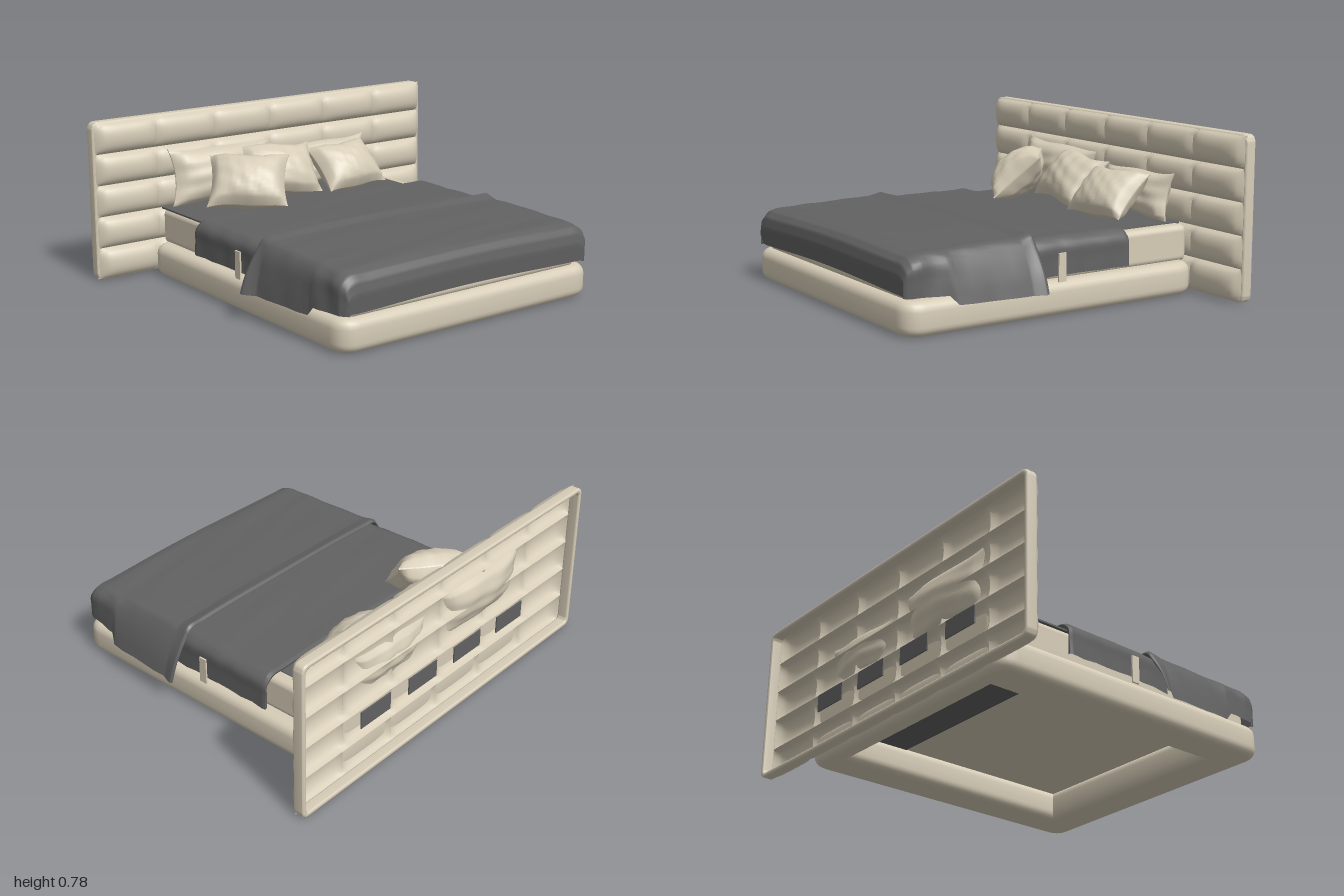
import * as THREE from 'three';
import { RoundedBoxGeometry } from 'three/addons/geometries/RoundedBoxGeometry.js';
import { toCreasedNormals } from 'three/addons/utils/BufferGeometryUtils.js';

const cream = new THREE.MeshStandardMaterial({ color: 0xd6ccb7, side: THREE.DoubleSide });
cream.name = 'cream fabric';
const grey = new THREE.MeshStandardMaterial({ color: 0x626262, side: THREE.DoubleSide });
grey.name = 'grey bedding';

function add(parent, name, geometry, material, x = 0, y = 0, z = 0) {
  const mesh = new THREE.Mesh(geometry, material);
  mesh.name = name;
  mesh.position.set(x, y, z);
  parent.add(mesh);
  return mesh;
}

const plate = (w, h, d) => new THREE.BoxGeometry(w, h, d);

// Rounded rectangle outline, centred on (0, cy)
function roundRect(path, w, h, r, cy = 0) {
  const x = w / 2, top = cy + h / 2, low = cy - h / 2;
  path.moveTo(-x + r, low);
  path.lineTo(x - r, low);
  path.quadraticCurveTo(x, low, x, low + r);
  path.lineTo(x, top - r);
  path.quadraticCurveTo(x, top, x - r, top);
  path.lineTo(-x + r, top);
  path.quadraticCurveTo(-x, top, -x, top - r);
  path.lineTo(-x, low + r);
  path.quadraticCurveTo(-x, low, -x + r, low);
  return path;
}

// Rectangular ring with bevelled edges, centred in depth
function ring(w, h, holeW, holeH, holeY, depth, bevel, r, holeR) {
  const shape = roundRect(new THREE.Shape(), w - 2 * bevel, h - 2 * bevel, r);
  shape.holes.push(roundRect(new THREE.Path(), holeW + 2 * bevel, holeH + 2 * bevel, holeR, holeY));
  const geo = new THREE.ExtrudeGeometry(shape, {
    depth: depth - 2 * bevel, bevelThickness: bevel, bevelSize: bevel, bevelSegments: 5, curveSegments: 6,
  });
  geo.translate(0, 0, bevel - depth / 2);
  return toCreasedNormals(geo, 0.7);
}

// One padded headboard row: bulging cells with sharp seams, closed at both ends
function paddedRow(w, h, bulge, cells) {
  const geo = new THREE.PlaneGeometry(w, h, cells * 14, 14);
  const p = geo.attributes.position;
  for (let i = 0; i < p.count; i++) {
    const x = p.getX(i) / (w / 2), b = Math.abs(p.getY(i) / (h / 2));
    const cell = (x + 1) / 2 * cells;
    const a = 2 * Math.abs(cell - Math.floor(cell) - 0.5);
    const across = (0.58 + 0.42 * Math.sqrt(1 - Math.min(1, a) ** 4)) * Math.sqrt(Math.max(0, 1 - x ** 30));
    p.setZ(i, bulge * across * Math.sqrt(Math.max(0, 1 - b ** 2.2)));
  }
  return toCreasedNormals(geo, 0.9);
}

// Soft pillow with pulled-out corners and a few creases
function pillowGeometry(w, h, t, seed) {
  const geo = new THREE.BoxGeometry(2, 2, 2, 18, 18, 1);
  const p = geo.attributes.position;
  for (let i = 0; i < p.count; i++) {
    const u = p.getX(i), v = p.getY(i), side = Math.sign(p.getZ(i));
    const puff = Math.pow(Math.max(0, (1 - u * u) * (1 - v * v)), 0.45);
    const crease = 0.006 * Math.sin(5 * u - 4 * v + seed) * Math.sin(7 * v + 3 * u * seed) * Math.sqrt(puff);
    p.setXYZ(i,
      u * w / 2 * (1 - 0.1 * (1 - v * v)),
      v * h / 2 * (1 - 0.1 * (1 - u * u)) + 0.006 * Math.sin(4 * u + seed),
      side * (0.003 + t / 2 * puff) + crease);
  }
  geo.computeVertexNormals();
  return geo;
}

// Cloth over the mattress; each row is [z, top, hem, half width, flare at -x, flare at +x]
function blanketGeometry(rows, crown) {
  const cols = 48, steps = 5, pos = [], index = [];
  const total = (rows.length - 1) * steps;
  for (let j = 0; j <= total; j++) {
    const k = Math.min(Math.floor(j / steps), rows.length - 2), f = j / steps - k;
    const [z, top, hem, w, flareL, flareR] = rows[k].map((a, n) => a + (rows[k + 1][n] - a) * f);
    const h = top - hem;
    const half = (s, flare) => [
      [w + flare, hem], [w + flare * 0.6, hem + 0.4 * h], [w, top - 0.22 * h],
      [w - 0.04, top - 0.01 * h], [w - 0.12, top + crown * 0.2], [0.3, top + crown * 0.8],
    ].map(([x, y]) => new THREE.Vector3(s * x, y, z));
    const section = new THREE.CatmullRomCurve3([
      ...half(-1, flareL), new THREE.Vector3(0, top + crown, z), ...half(1, flareR).reverse(),
    ]);
    for (let i = 0; i <= cols; i++) {
      const q = section.getPoint(i / cols);
      const fold = 0.003 * Math.sin(26 * z + 3 * q.x) * Math.sin(4 * q.x + 9 * z);
      const onSide = Math.abs(q.x) > w - 0.02;
      const ripple = onSide ? Math.sign(q.x) * 0.004 * Math.sin(38 * z + 12 * q.y) : 0;
      pos.push(q.x + ripple, q.y + (onSide ? 0 : fold), q.z);
      if (i < cols && j < total) {
        const a = j * (cols + 1) + i, b = a + cols + 1;
        index.push(a, b, a + 1, b, b + 1, a + 1);
      }
    }
  }
  const geo = new THREE.BufferGeometry();
  geo.setAttribute('position', new THREE.Float32BufferAttribute(pos, 3));
  geo.setIndex(index);
  geo.computeVertexNormals();
  return geo;
}

export function createModel() {
  const model = new THREE.Group();
  model.name = 'upholstered bed';

  // Headboard: thin rim and padded rows, open at the back
  const headboard = new THREE.Group();
  headboard.name = 'headboard';
  model.add(headboard);
  add(headboard, 'headboardRim', ring(2, 0.775, 1.955, 0.73, 0, 0.055, 0.008, 0.03, 0.03), cream, 0, 0.388, -0.803);
  const rowHeight = 0.768 / 5;
  const row = paddedRow(1.99, rowHeight, 0.052, 6);
  for (let r = 0; r < 5; r++) {
    add(headboard, 'headboardRow', row, cream, 0, 0.004 + (r + 0.5) * rowHeight, -0.782);
  }
  // Sheet showing through the back of the middle panels
  for (const c of [-1.5, -0.5, 0.5, 1.5]) {
    add(headboard, 'sheetPatch', plate(0.2, 0.085, 0.006), grey, c * 0.33 - 0.015, 0.262, -0.788);
  }

  // Base: padded ring, open underneath
  const base = ring(1.45, 1.57, 1.04, 1.24, 0.05, 0.155, 0.045, 0.05, 0.01);
  base.rotateX(-Math.PI / 2);
  add(model, 'base', base, cream, 0, 0.0775, 0.045);

  // Mattress with a sheet on top and strips below
  add(model, 'mattress', new RoundedBoxGeometry(1.31, 0.175, 1.53, 4, 0.03), cream, 0, 0.232, 0.025);
  add(model, 'topSheet', plate(1.25, 0.008, 0.5), grey, -0.03, 0.32, -0.49);
  add(model, 'underStripHead', plate(1.06, 0.006, 0.32), grey, 0, 0.142, -0.47);
  add(model, 'underStripSide', plate(0.08, 0.006, 0.86), grey, -0.48, 0.142, 0.12);

  // Under blanket across the middle
  add(model, 'middleBlanket', blanketGeometry([
    [-0.345, 0.325, 0.18, 0.69, 0, 0],
    [-0.35, 0.338, 0.178, 0.7, 0.005, 0.005],
    [-0.33, 0.345, 0.178, 0.705, 0.005, 0.005],
    [0, 0.345, 0.18, 0.7, 0.005, 0.005],
    [0.25, 0.345, 0.17, 0.69, 0.005, 0.005],
  ], 0.006), grey);
  for (const s of [-1, 1]) {
    add(model, 'sheetTab', plate(0.008, 0.13, 0.04), cream, s * 0.714, 0.217, 0.03);
  }

  // Foot blanket with side drapes and a tucked front
  add(model, 'footBlanket', blanketGeometry([
    [0.175, 0.35, 0.135, 0.69, 0.085, 0.09],
    [0.155, 0.362, 0.128, 0.7, 0.085, 0.09],
    [0.17, 0.374, 0.126, 0.705, 0.08, 0.09],
    [0.23, 0.358, 0.126, 0.705, 0.045, 0.075],
    [0.59, 0.352, 0.13, 0.705, 0.03, 0.055],
    [0.625, 0.35, 0.17, 0.705, 0.02, 0.025],
    [0.74, 0.345, 0.172, 0.705, 0.015, 0.01],
    [0.785, 0.335, 0.172, 0.7, 0.01, 0.005],
    [0.812, 0.31, 0.172, 0.69, 0, 0],
    [0.822, 0.26, 0.172, 0.68, 0, 0],
    [0.815, 0.176, 0.172, 0.67, 0, 0],
  ], 0.012), grey);

  // Pillows: width, height, thickness, x, y, z, turn, lean, roll
  const pillows = [
    ['backPillow', 0.58, 0.28, 0.16, -0.33, 0.46, -0.71, 0, -0.2, -0.03],
    ['backPillow', 0.5, 0.23, 0.13, 0.32, 0.435, -0.7, 0, -0.25, 0.02],
    ['centrePillow', 0.4, 0.29, 0.18, -0.055, 0.46, -0.59, -0.08, -0.7, -0.08],
    ['leaningPillow', 0.39, 0.31, 0.2, -0.335, 0.46, -0.455, -0.64, -0.85, 0],
    ['sidePillow', 0.37, 0.28, 0.18, 0.315, 0.44, -0.53, 0.05, -0.8, 0.02],
  ];
  pillows.forEach(([name, w, h, t, x, y, z, turn, lean, roll], i) => {
    const pillow = add(model, name, pillowGeometry(w, h, t, i + 1), cream, x, y, z);
    pillow.rotation.set(lean, turn, roll, 'YXZ');
  });

  return model;
}
